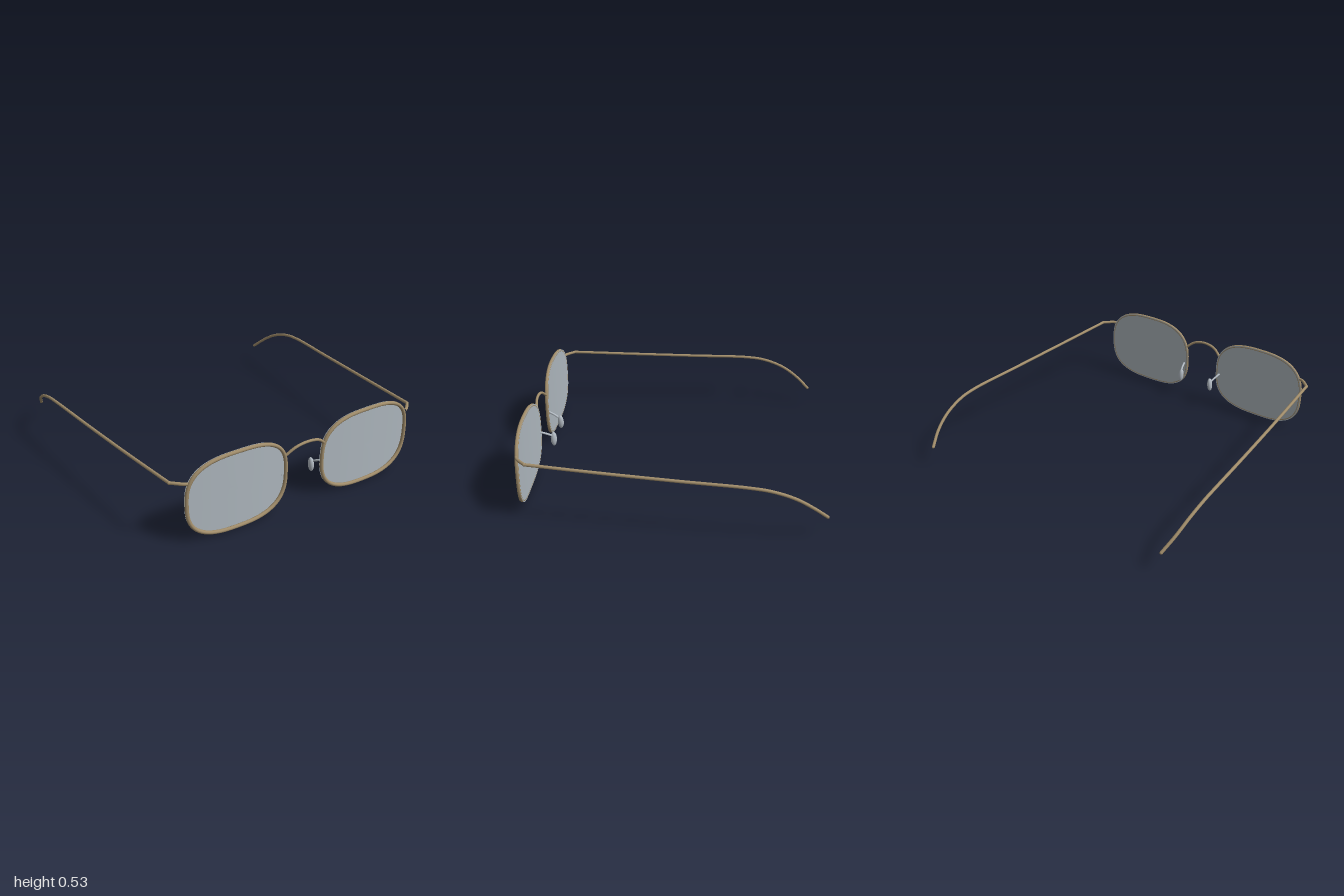
import * as THREE from 'three';

const mat = (name, color, side = THREE.FrontSide) => {
  const m = new THREE.MeshStandardMaterial({ color, side });
  m.name = name;
  return m;
};

// Lens outline: a rounded oblong following a superellipse
const CX = 0.476, CY = 0.266, HALF_W = 0.34, HALF_H = 0.254;
const power = (v) => Math.sign(v) * Math.abs(v) ** (2 / 2.8);
const faceZ = (x) => 0.929 - 0.12 * (Math.abs(x) - 0.42) ** 2; // gentle wrap of the front
const outline = (s, a, k = 1, grow = 0) => {
  const x = s * CX + (HALF_W + grow) * k * power(Math.cos(a));
  const y = CY + (HALF_H + grow) * k * power(Math.sin(a));
  return new THREE.Vector3(x, y, faceZ(x));
};

export function createModel() {
  const group = new THREE.Group();
  const bronze = mat('bronze metal', 0xa08c6a);
  const silver = mat('silver metal', 0xb4bcc4);
  const glass = mat('grey lens', 0xaeb7be, THREE.DoubleSide);

  const add = (name, geometry, material) => {
    const mesh = new THREE.Mesh(geometry, material);
    mesh.name = name;
    group.add(mesh);
    return mesh;
  };
  const ball = (name, p, r, material) =>
    add(name, new THREE.SphereGeometry(r, 16, 10), material).position.copy(p);
  const wire = (name, points, r, material, steps = 40) => {
    const curve = new THREE.CatmullRomCurve3(points);
    return add(name, new THREE.TubeGeometry(curve, steps, r, 12), material);
  };

  for (const s of [1, -1]) {
    const side = s > 0 ? 'left' : 'right';
    const v = (x, y, z) => new THREE.Vector3(s * x, y, z);

    // Rim
    const loop = [];
    for (let i = 0; i < 72; i++) loop.push(outline(s, (i / 72) * Math.PI * 2));
    const rimCurve = new THREE.CatmullRomCurve3(loop, true);
    add(side + 'Rim', new THREE.TubeGeometry(rimCurve, 120, 0.012, 10, true), bronze);

    // Lens: a disc pushed out to the outline, set at the back of the rim
    const lens = new THREE.RingGeometry(0.001, 1, 96, 6);
    const pos = lens.attributes.position;
    for (let i = 0; i < pos.count; i++) {
      const px = pos.getX(i), py = pos.getY(i);
      const p = outline(s, Math.atan2(py, px), Math.hypot(px, py), 0.009);
      pos.setXYZ(i, p.x, p.y, p.z - 0.011);
    }
    lens.computeVertexNormals();
    add(side + 'Lens', lens, glass);

    // End piece and hinge
    const hinge = v(0.888, 0.405, 0.845);
    wire(side + 'EndPiece', [v(0.805, 0.405, 0.912), v(0.83, 0.406, 0.9), hinge], 0.01, bronze, 12);
    ball(side + 'Hinge', hinge, 0.011, bronze);

    // Temple with its curved ear end
    const tip = v(0.925, 0.14, -0.948);
    wire(side + 'Temple', [
      hinge, v(0.925, 0.386, 0.4), v(0.961, 0.369, -0.08), v(0.988, 0.356, -0.48),
      v(0.989, 0.338, -0.61), v(0.979, 0.288, -0.75), v(0.959, 0.217, -0.86), tip,
    ], 0.01, bronze, 90);
    ball(side + 'TempleTip', tip, 0.01, bronze);

    // Nose pad and its arm
    wire(side + 'PadArm', [v(0.157, 0.245, 0.915), v(0.146, 0.228, 0.872), v(0.131, 0.205, 0.83)],
      0.007, silver, 12);
    const pad = add(side + 'NosePad', new THREE.SphereGeometry(1, 24, 16), silver);
    pad.scale.set(0.018, 0.05, 0.021);
    pad.position.copy(v(0.128, 0.183, 0.828));
    pad.rotation.z = s * 0.08;
  }

  // Bridge
  wire('bridge', [
    new THREE.Vector3(-0.145, 0.378, 0.921), new THREE.Vector3(-0.085, 0.424, 0.938),
    new THREE.Vector3(0, 0.441, 0.944),
    new THREE.Vector3(0.085, 0.424, 0.938), new THREE.Vector3(0.145, 0.378, 0.921),
  ], 0.009, bronze);

  return group;
}
